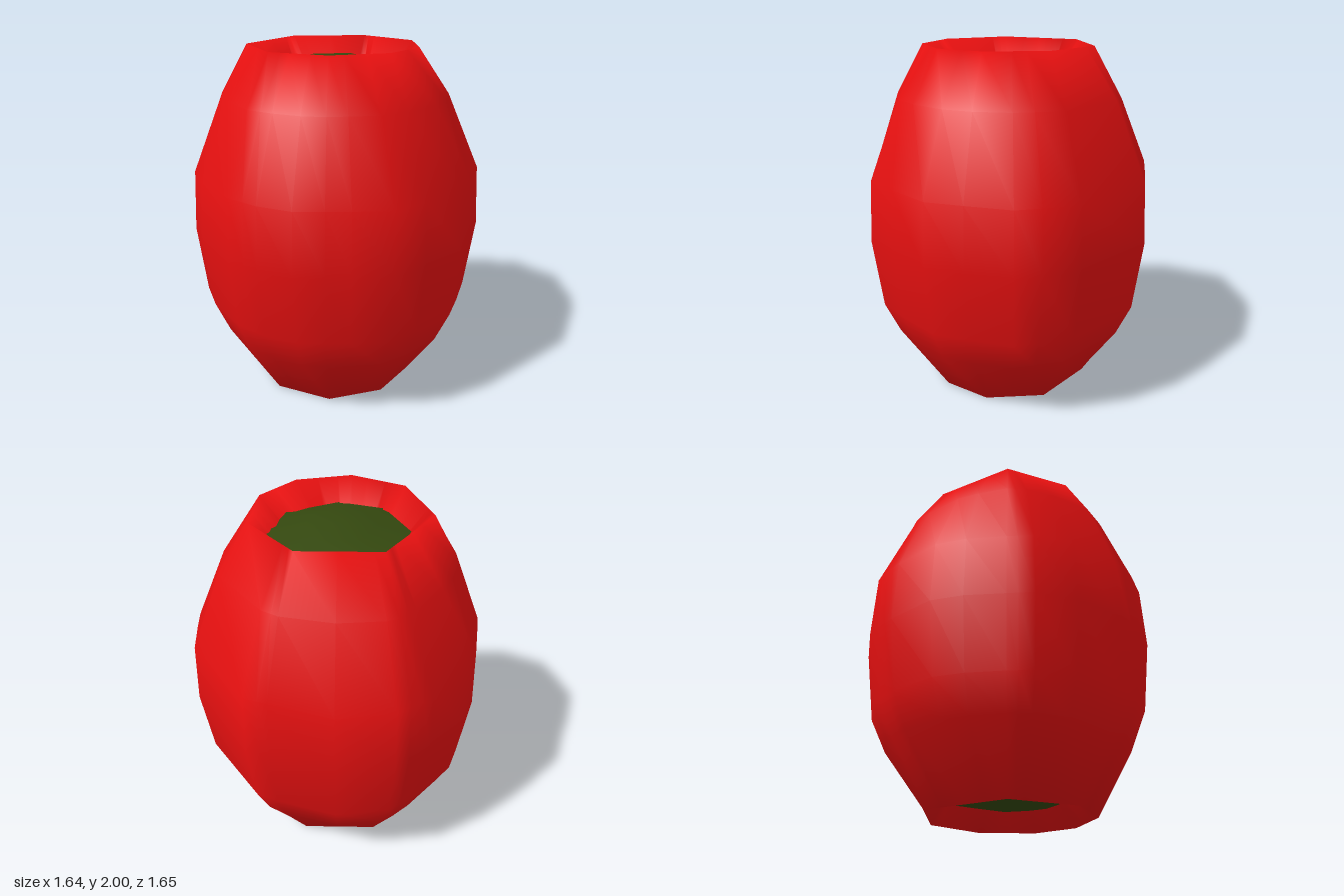
import * as THREE from 'three';
import { mergeVertices } from 'three/addons/utils/BufferGeometryUtils.js';

const TAU = Math.PI * 2;

// Uneven outline polygons as [x, z] points
const toPolar = pts => pts
  .map(([x, z]) => ({ a: (Math.atan2(z, x) + TAU) % TAU, r: Math.hypot(x, z) }))
  .sort((p, q) => p.a - q.a);

const belly = toPolar([
  [-0.82, -0.13], [-0.71, -0.41], [-0.59, -0.61], [-0.32, -0.78], [0.18, -0.83],
  [0.66, -0.56], [0.82, -0.26], [0.82, 0.22], [0.56, 0.64], [0.08, 0.82],
  [-0.12, 0.81], [-0.34, 0.74], [-0.57, 0.58], [-0.72, 0.4], [-0.81, 0.05],
]);
const rim = toPolar([161, 220, 273, 319, 0, 34, 73, 113].map(d => {
  const a = d * Math.PI / 180;
  return [0.485 * Math.cos(a), 0.485 * Math.sin(a)];
}));
const opening = toPolar([
  [0.05, -0.42], [0.35, -0.18], [0.38, 0.1], [0.17, 0.34],
  [-0.1, 0.37], [-0.35, 0.15], [-0.33, -0.23],
]);

// Distance from the axis to a polygon's edge at a given angle
function radiusAt(poly, angle) {
  for (let i = 0; i < poly.length; i++) {
    const p = poly[i], q = poly[(i + 1) % poly.length];
    const span = (q.a - p.a + TAU) % TAU;
    const t = (angle - p.a + TAU) % TAU;
    if (t <= span) {
      return p.r * q.r * Math.sin(span) / (p.r * Math.sin(t) + q.r * Math.sin(span - t));
    }
  }
  return poly[0].r;
}

// Smooth skin through rings listed from top to bottom: { y, radius(angle) }
function loft(rings, angles) {
  const positions = [], index = [], n = angles.length;
  rings.forEach(({ y, radius }, i) => angles.forEach((a, j) => {
    const r = radius(a);
    positions.push(r * Math.cos(a), y, r * Math.sin(a));
    if (i === rings.length - 1) return;
    const k = (j + 1) % n;
    const p = i * n + j, q = i * n + k;
    index.push(p, q, p + n, q, q + n, p + n);
  }));
  let geometry = new THREE.BufferGeometry();
  geometry.setAttribute('position', new THREE.Float32BufferAttribute(positions, 3));
  geometry.setIndex(index);
  geometry = mergeVertices(geometry, 1e-4);
  geometry.computeVertexNormals();
  return geometry;
}

export function createModel() {
  const group = new THREE.Group();
  group.name = 'hollowBarrel';

  const red = new THREE.MeshStandardMaterial({ color: 0xe51010 });
  red.name = 'red';
  const green = new THREE.MeshStandardMaterial({ color: 0x34480f });
  green.name = 'darkGreen';

  const add = (name, geometry, material) => {
    const mesh = new THREE.Mesh(geometry, material);
    mesh.name = name;
    group.add(mesh);
  };

  // Body: blend 0 is the rim, 1 the belly; each end folds into a funnel
  const body = (y, t) => ({
    y, radius: a => THREE.MathUtils.lerp(radiusAt(rim, a), radiusAt(belly, a), t),
  });
  const funnel = y => ({
    y, radius: a => THREE.MathUtils.lerp(radiusAt(rim, a), radiusAt(opening, a), 2.5),
  });
  const allAngles = [...belly, ...rim, ...opening].map(p => p.a).sort((p, q) => p - q)
    .filter((a, i, list) => i === 0 || a - list[i - 1] > 0.03);
  add('outerBody', loft([
    funnel(1.7), body(2, 0), body(1.73, 0.48), body(1.3, 0.95), body(0.95, 1),
    body(0.55, 0.87), body(0.36, 0.65), body(0, 0), funnel(0.3),
  ], allAngles), red);

  // Shallow domes of the core showing in both openings
  const core = (y, s) => ({ y, radius: a => s * radiusAt(opening, a) });
  const coreAngles = opening.map(p => p.a);
  const dome = [core(1.94, 0), core(1.925, 0.5), core(1.88, 1)];
  add('topCore', loft(dome, coreAngles), green);
  const lower = dome.map(({ y, radius }) => ({ y: 2 - y, radius })).reverse();
  add('bottomCore', loft(lower, coreAngles), green);

  return group;
}
